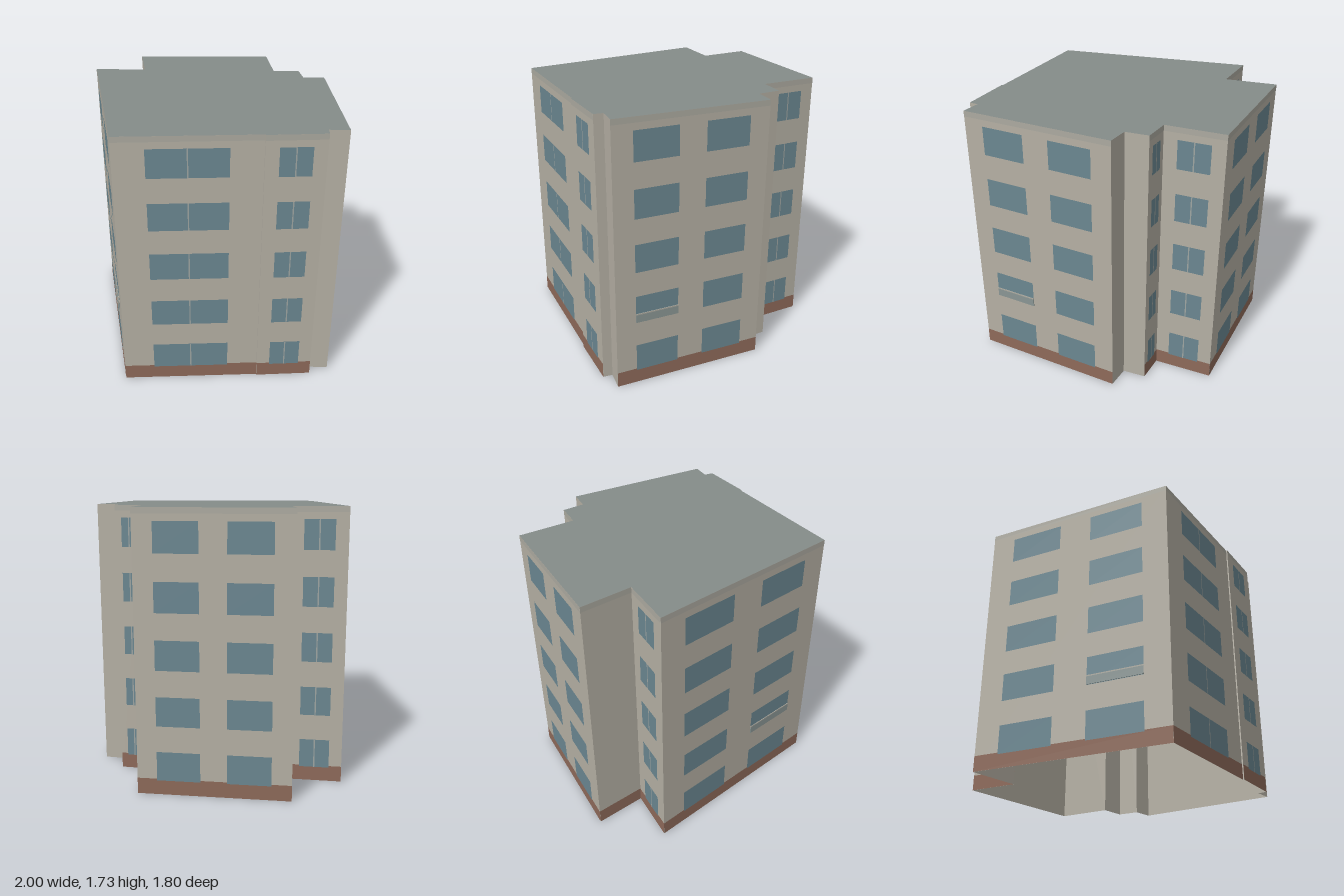
import * as THREE from 'three';

const HEIGHT = 1.73;
const FLOORS = 5;
const FLOOR_HEIGHT = 0.345;
const SILL = 0.09;
const WINDOW_HEIGHT = 0.183;

const paint = (color, side = THREE.FrontSide) => new THREE.MeshStandardMaterial({ color, side });
const MAT = {
  wall: paint(0xb5b0a4, THREE.DoubleSide),
  plinth: paint(0x8e6a5a),
  glass: paint(0x6b8791),
  mullion: paint(0x9fa6a3),
  cornice: paint(0xacaaa0),
  roof: paint(0x858c89, THREE.DoubleSide),
  balcony: paint(0x8a9694),
};

// Window layouts: [start, end] as fractions of the wall's length
const WIDE = { windows: [[0.13, 0.413], [0.587, 0.87]] };
const DOUBLE = { windows: [[0.23, 0.77]], mullion: true };
const BLANK = { windows: [] };

// Footprint corners [x, z] in order, each with the wall that starts there
const WALLS = [
  { at: [0.19, 0.9], name: 'frontRightWall', ...DOUBLE, windows: [[0.22, 0.775]] },
  { at: [0.731, 0.217], name: 'wallJog', ...BLANK, bare: true },
  { at: [0.738, 0.221], name: 'sideBayWall', ...DOUBLE },
  { at: [0.957, -0.064], name: 'notchBack', ...BLANK, bare: true },
  { at: [0.914, -0.105], name: 'notchFront', ...BLANK, bare: true },
  { at: [1.0, -0.195], name: 'backRightWall', ...WIDE, balcony: 0 },
  { at: [0.25, -0.83], name: 'rearPierLeft', ...BLANK, bare: true },
  { at: [0.15, -0.727], name: 'rearPierRight', ...BLANK, bare: true },
  { at: [0.03, -0.81], name: 'rearRecessWall', ...DOUBLE },
  { at: [-0.09, -0.68], name: 'rearWingSide', ...DOUBLE },
  { at: [-0.39, -0.903], name: 'backLeftWall', ...WIDE },
  { at: [-1.0, -0.188], name: 'leftReturnWall', ...BLANK },
  { at: [-0.72, -0.01], name: 'leftBayWall', ...DOUBLE },
  { at: [-0.948, 0.25], name: 'frontLeftWall', ...WIDE, balcony: 1 },
];

// Flat panel on a wall, in the wall's own coordinates
function panel(name, material, x0, x1, y0, y1, offset) {
  const mesh = new THREE.Mesh(new THREE.PlaneGeometry(x1 - x0, y1 - y0), material);
  mesh.position.set((x0 + x1) / 2, (y0 + y1) / 2, offset);
  mesh.name = name;
  return mesh;
}

// Very shallow railing with a handrail along its top
function makeBalcony(x0, x1, y) {
  const balcony = new THREE.Group();
  balcony.name = 'balcony';
  const front = new THREE.Mesh(new THREE.BoxGeometry(x1 - x0, 0.052, 0.005), MAT.balcony);
  front.name = 'balconyFront';
  front.position.set((x0 + x1) / 2, y + 0.029, 0.0035);
  const rail = new THREE.Mesh(new THREE.BoxGeometry(x1 - x0, 0.008, 0.005), MAT.cornice);
  rail.name = 'handrail';
  rail.position.set((x0 + x1) / 2, y + 0.059, 0.0035);
  balcony.add(front, rail);
  return balcony;
}

// One wall with plinth, cornice and windows; x runs along it, +z points outward
function makeFacade(wall, next) {
  const facade = new THREE.Group();
  facade.name = wall.name;
  const dx = next.at[0] - wall.at[0];
  const dz = next.at[1] - wall.at[1];
  const length = Math.hypot(dx, dz);
  facade.position.set(wall.at[0], 0, wall.at[1]);
  facade.rotation.y = Math.atan2(-dz, dx);
  facade.add(panel('wall', MAT.wall, 0, length, 0, HEIGHT, 0));
  if (wall.bare) return facade;

  facade.add(panel('plinth', MAT.plinth, 0, length, 0, 0.1, 0.001));
  facade.add(panel('cornice', MAT.cornice, 0, length, HEIGHT - 0.035, HEIGHT, 0.001));
  wall.windows.forEach(([start, end], column) => {
    const x0 = start * length;
    const x1 = end * length;
    const mid = (x0 + x1) / 2;
    for (let floor = 0; floor < FLOORS; floor++) {
      const y = SILL + floor * FLOOR_HEIGHT;
      facade.add(panel('window', MAT.glass, x0, x1, y, y + WINDOW_HEIGHT, 0.002));
      if (wall.mullion) {
        facade.add(panel('mullion', MAT.mullion, mid - 0.004, mid + 0.004, y, y + WINDOW_HEIGHT, 0.003));
      }
      if (floor === 1 && wall.balcony === column) facade.add(makeBalcony(x0, x1, y));
    }
  });
  return facade;
}

export function createModel() {
  const building = new THREE.Group();
  building.name = 'apartmentBuilding';

  // Flat roof over a hollow shell that is open below
  const footprint = new THREE.Shape(WALLS.map(({ at: [x, z] }) => new THREE.Vector2(x, -z)));
  const roof = new THREE.Mesh(new THREE.ShapeGeometry(footprint).rotateX(-Math.PI / 2), MAT.roof);
  roof.name = 'roof';
  roof.position.y = HEIGHT;
  building.add(roof);

  WALLS.forEach((wall, i) => building.add(makeFacade(wall, WALLS[(i + 1) % WALLS.length])));
  return building;
}
